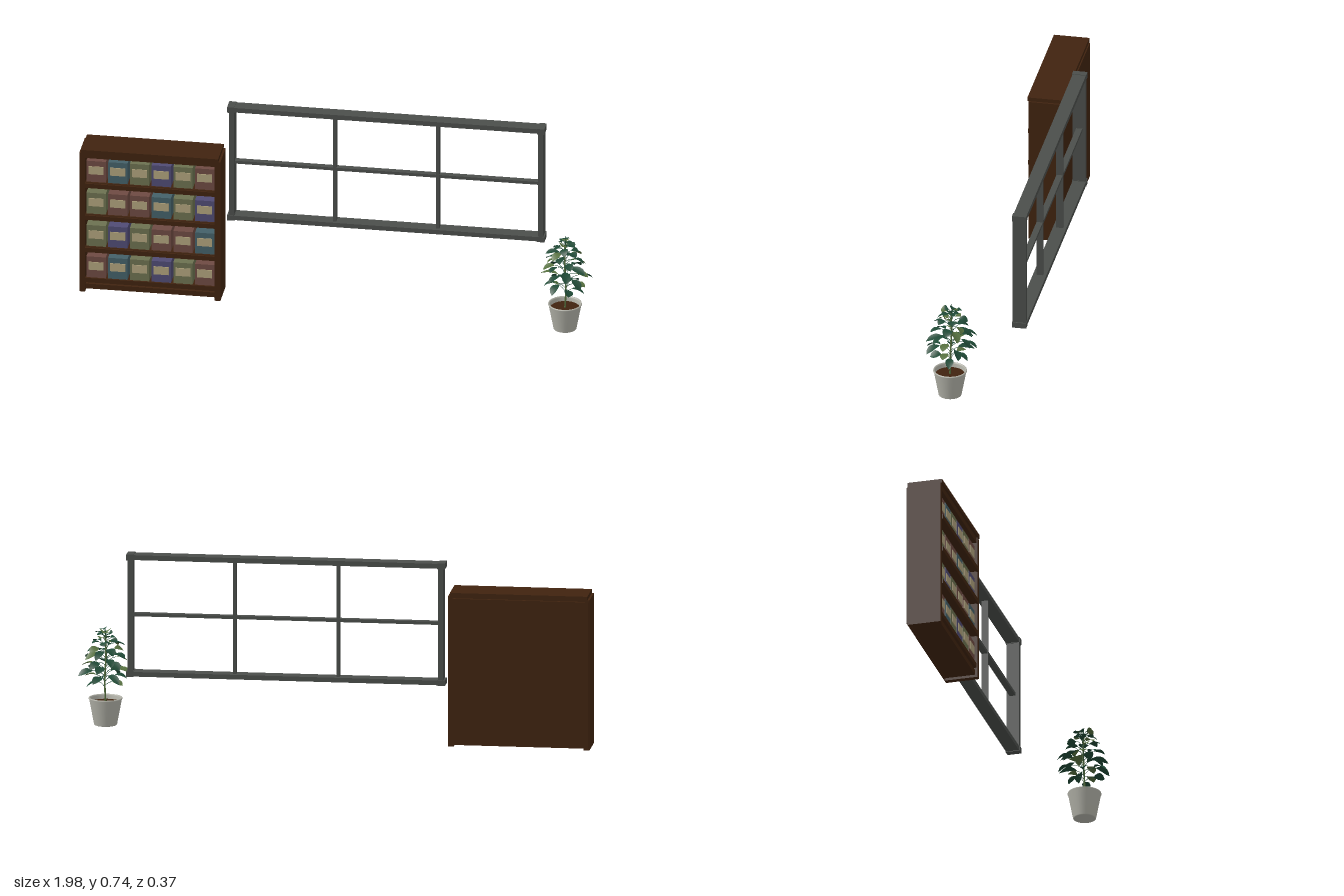
import * as THREE from 'three';

const mat = (name, color) => {
  const m = new THREE.MeshStandardMaterial({ color });
  m.name = name;
  return m;
};

export function createModel() {
  const wood = mat('dark wood', 0x40230f);
  const steel = mat('grey steel', 0x4b4e4b);
  const ceramic = mat('pale ceramic', 0xb4b4aa);
  const paper = mat('cream paper', 0xb0a27c);
  const red = mat('dusty red', 0x6e4a42);
  const teal = mat('slate teal', 0x446069);
  const olive = mat('olive', 0x6c7150);
  const purple = mat('muted purple', 0x504b74);
  const leafDark = mat('deep leaf green', 0x1f4a36);
  const leafLight = mat('light leaf green', 0x56703f);
  leafDark.side = leafLight.side = ceramic.side = THREE.DoubleSide;

  const root = new THREE.Group();
  const group = (name) => {
    const g = new THREE.Group();
    g.name = name;
    root.add(g);
    return g;
  };
  const add = (parent, name, geo, material) => {
    const m = new THREE.Mesh(geo, material);
    m.name = name;
    parent.add(m);
    return m;
  };
  // Box given by its minimum and maximum on each axis
  const box = (parent, name, material, x0, x1, y0, y1, z0, z1) => {
    const m = add(parent, name, new THREE.BoxGeometry(x1 - x0, y1 - y0, z1 - z0), material);
    m.position.set((x0 + x1) / 2, (y0 + y1) / 2, (z0 + z1) / 2);
    return m;
  };

  // Bookcase carcass
  const bookcase = group('bookcase');
  box(bookcase, 'leftSidePanel', wood, -0.477, -0.455, 0, 0.587, -0.085, 0.045);
  box(bookcase, 'rightSidePanel', wood, -1, -0.978, 0, 0.587, -0.085, 0.045);
  box(bookcase, 'topBoard', wood, -0.992, -0.463, 0.587, 0.602, -0.088, 0.05);
  box(bookcase, 'backPanel', wood, -0.996, -0.459, 0.008, 0.58, -0.09, -0.08);
  box(bookcase, 'topRail', wood, -0.978, -0.477, 0.565, 0.587, -0.08, 0.042);
  box(bookcase, 'kickBoard', wood, -0.978, -0.477, 0.01, 0.03, -0.08, 0.036);

  // Shelves with front lips, each holding six labelled boxes
  const rows = [
    [red, teal, olive, purple, olive, red],
    [olive, red, red, teal, olive, purple],
    [olive, purple, olive, red, red, teal],
    [red, teal, olive, purple, olive, red],
  ];
  const shelfTops = [0.462, 0.327, 0.19, 0.057];
  rows.forEach((row, r) => {
    const y = shelfTops[r];
    box(bookcase, 'shelf', wood, -0.978, -0.477, y - 0.018, y, -0.08, 0.042);
    if (r < 3) box(bookcase, 'shelfLip', wood, -0.978, -0.477, y - 0.02, y - 0.002, 0.042, 0.05);
    row.forEach((color, c) => {
      const x = -0.937 + c * 0.084;
      box(bookcase, 'storageBox', color, x - 0.0375, x + 0.0375, y, y + 0.088, -0.06, 0.034);
      box(bookcase, 'boxLabel', paper, x - 0.029, x + 0.029, y + 0.033, y + 0.066, 0.034, 0.037);
    });
  });

  // Hanging window frame
  const frame = group('windowFrame');
  for (const [y0, y1] of [[0.717, 0.736], [0.261, 0.279]]) {
    box(frame, 'rail', steel, -0.45, 0.765, y0, y1, -0.184, -0.132);
    for (const x of [-0.457, 0.742])
      box(frame, 'cornerBlock', steel, x, x + 0.028, y0 - 0.002, y1 + 0.002, -0.185, -0.13);
  }
  for (const x of [-0.45, 0.745])
    box(frame, 'post', steel, x, x + 0.02, 0.279, 0.717, -0.183, -0.132);
  for (const x of [-0.043, 0.355])
    box(frame, 'verticalBar', steel, x - 0.006, x + 0.006, 0.279, 0.717, -0.171, -0.145);
  box(frame, 'horizontalBar', steel, -0.43, 0.745, 0.494, 0.506, -0.17, -0.146);

  // Plant pot with a rolled rim and an inner wall
  const plant = group('pottedPlant');
  plant.position.set(0.885, 0, 0.088);
  const profile = [[0, 0.01], [0.04, 0.008], [0.044, 0.01], [0.0625, 0.108], [0.065, 0.111],
    [0.064, 0.115], [0.06, 0.115], [0.058, 0.11], [0.055, 0.09]];
  add(plant, 'pot', new THREE.LatheGeometry(profile.map((p) => new THREE.Vector2(...p)), 32), ceramic);
  const soil = add(plant, 'soil', new THREE.CircleGeometry(0.056, 32), wood);
  soil.rotation.x = -Math.PI / 2;
  soil.position.y = 0.097;

  // Stem and top shoot
  const stemCurve = new THREE.CatmullRomCurve3([
    new THREE.Vector3(0, 0.095, 0), new THREE.Vector3(0.003, 0.18, -0.002),
    new THREE.Vector3(-0.002, 0.28, -0.005), new THREE.Vector3(0, 0.36, -0.004)]);
  add(plant, 'stem', new THREE.TubeGeometry(stemCurve, 12, 0.0035, 6), leafLight);
  const shoot = add(plant, 'topShoot', new THREE.CylinderGeometry(0.0005, 0.002, 0.045, 6), leafDark);
  shoot.position.set(0, 0.376, -0.004);

  // Leaf blade along +x: folded along its midrib, drooping towards the tip
  const leafGeometry = (length, width, droop) => {
    const n = 7;
    const pos = [], idx = [];
    for (let i = 0; i <= n; i++) {
      const t = i / n;
      const half = width / 2 * Math.pow(Math.sin(Math.PI * Math.pow(t, 1.25)), 0.65) + 0.0003;
      const y = length * (0.22 * t - droop * t * t);
      for (const s of [-1, 0, 1]) pos.push(length * t, y + Math.abs(s) * half * 0.28, s * half);
      if (i < n) for (const k of [0, 1]) {
        const a = i * 3 + k;
        idx.push(a, a + 1, a + 3, a + 1, a + 4, a + 3);
      }
    }
    const g = new THREE.BufferGeometry();
    g.setAttribute('position', new THREE.Float32BufferAttribute(pos, 3));
    g.setIndex(idx);
    g.computeVertexNormals();
    return g;
  };

  // Leaves spiral up the stem on short stalks
  let seed = 11;
  const rand = () => (seed = (seed * 16807) % 2147483647) / 2147483647;
  const count = 46;
  for (let i = 0; i < count; i++) {
    const t = i / (count - 1);
    const y = 0.165 + 0.2 * Math.pow(t, 0.9);
    const reach = (0.062 + 0.05 * Math.sin(Math.PI * Math.min(1, t * 0.8 + 0.2))) *
      (1 - 0.55 * t * t) * (0.78 + 0.25 * rand());
    const stalk = reach * (i % 3 === 0 ? 0.28 : 0.45);
    const rise = 0.006 + 0.014 * rand();
    const branch = new THREE.Group();
    branch.name = 'leafBranch';
    branch.position.copy(stemCurve.getPoint(Math.min(1, (y - 0.095) / 0.265)));
    branch.rotation.y = i * 2.4 + 0.4 * rand();
    plant.add(branch);

    const curve = new THREE.QuadraticBezierCurve3(new THREE.Vector3(0, -0.008, 0),
      new THREE.Vector3(stalk * 0.5, rise, 0), new THREE.Vector3(stalk, rise, 0));
    add(branch, 'leafStalk', new THREE.TubeGeometry(curve, 4, 0.001, 4), leafDark);
    const blade = leafGeometry(reach - stalk, 0.03 + 0.008 * rand(), 0.35 + 0.3 * rand());
    const leaf = add(branch, 'leaf', blade, i % 4 === 1 ? leafLight : leafDark);
    leaf.position.set(stalk, rise, 0);
    leaf.rotation.x = (rand() - 0.5) * 0.9;
    leaf.rotation.z = t > 0.8 ? 0.35 : 0;
  }
  return root;
}
